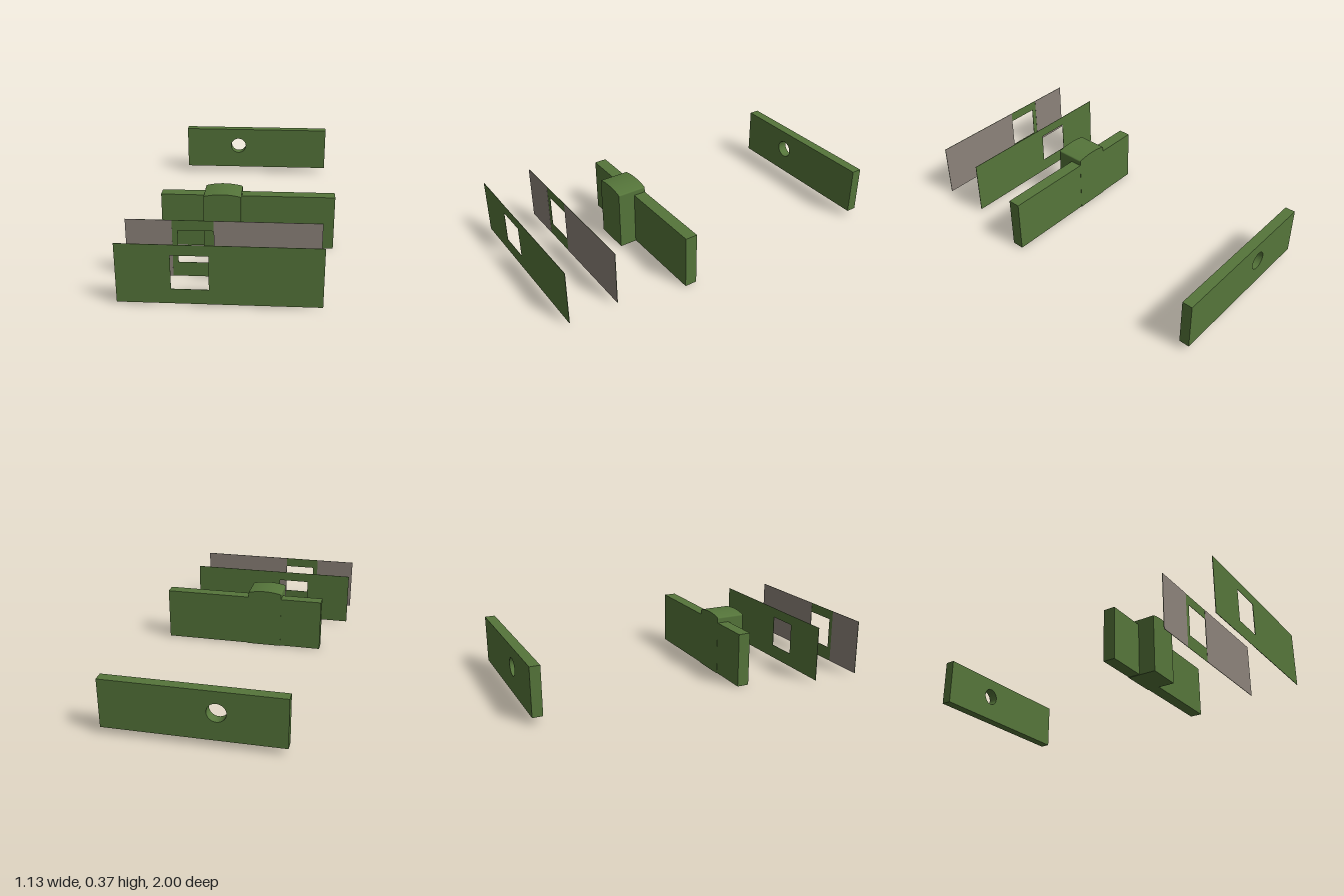
import * as THREE from 'three';

const green = new THREE.MeshStandardMaterial({ color: 0x55753a });
const grey = new THREE.MeshStandardMaterial({ color: 0x8c827a });

function add(parent, name, geometry, material) {
  const mesh = new THREE.Mesh(geometry, material);
  mesh.name = name;
  parent.add(mesh);
  return mesh;
}

// Box given by its limits on each axis
function boxBetween(x0, x1, y0, y1, z0, z1) {
  return new THREE.BoxGeometry(x1 - x0, y1 - y0, z1 - z0)
    .translate((x0 + x1) / 2, (y0 + y1) / 2, (z0 + z1) / 2);
}

function rectangle(target, x0, x1, y0, y1) {
  target.moveTo(x0, y0);
  target.lineTo(x1, y0);
  target.lineTo(x1, y1);
  target.lineTo(x0, y1);
  target.closePath();
  return target;
}

function extrude(shape, z0, z1) {
  return new THREE.ExtrudeGeometry(shape, { depth: z1 - z0, bevelEnabled: false, curveSegments: 24 })
    .translate(0, 0, z0);
}

// Thin windowed sheet: green core with two grey panels on one face
function windowSheet(name, z, side) {
  const sheet = new THREE.Group();
  sheet.name = name;
  const outline = rectangle(new THREE.Shape(), -0.568, 0.481, 0.01, 0.34);
  outline.holes.push(rectangle(new THREE.Path(), -0.287, -0.095, 0.093, 0.281));
  add(sheet, 'sheetCore', extrude(outline, -0.001, 0.001), green);
  const [z0, z1] = side > 0 ? [0.001, 0.002] : [-0.002, -0.001];
  for (const [x0, x1] of [[-0.568, -0.318], [-0.095, 0.481]]) {
    add(sheet, 'greyPanel', boxBetween(x0, x1, 0.01, 0.34, z0, z1), grey);
  }
  sheet.position.z = z;
  return sheet;
}

export function createModel() {
  const model = new THREE.Group();
  model.name = 'explodedPlateAssembly';

  // Two sheets with their grey faces towards each other
  model.add(windowSheet('frontSheet', 0.999, -1));
  model.add(windowSheet('middleSheet', 0.706, 1));

  // Solid plate carrying the block
  add(model, 'blockPlate', boxBetween(-0.435, 0.565, 0.003, 0.325, 0.243, 0.315), green);

  // Block with an arched top and softened shoulders
  const arch = new THREE.Shape();
  arch.moveTo(-0.18, 0);
  arch.lineTo(0.033, 0);
  arch.lineTo(0.033, 0.35);
  arch.quadraticCurveTo(0.033, 0.357, 0.026, 0.359);
  arch.quadraticCurveTo(-0.0735, 0.383, -0.173, 0.359);
  arch.quadraticCurveTo(-0.18, 0.357, -0.18, 0.35);
  arch.closePath();
  add(model, 'archedBlock', extrude(arch, 0.242, 0.418), green);

  // Rear plate with a round through hole
  const rear = rectangle(new THREE.Shape(), -0.435, 0.565, 0.04, 0.325);
  const hole = new THREE.Path();
  hole.absarc(-0.065, 0.202, 0.053, 0, Math.PI * 2, true);
  rear.holes.push(hole);
  add(model, 'rearPlate', extrude(rear, -1, -0.94), green);

  return model;
}
